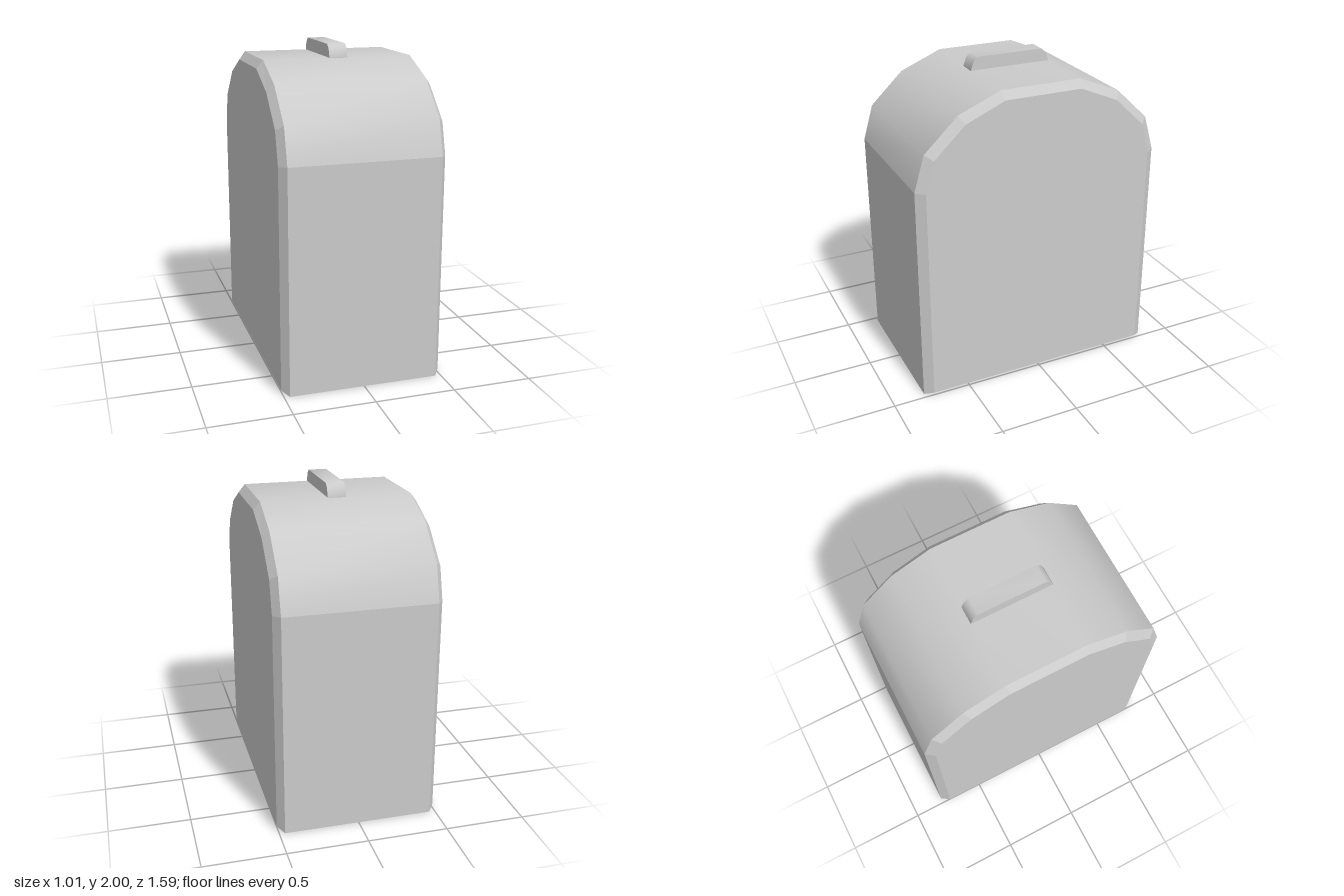
import * as THREE from 'three';
import { toCreasedNormals } from 'three/addons/utils/BufferGeometryUtils.js';

const material = new THREE.MeshStandardMaterial({ color: 0xcccccc });

// Mirrors a half profile of [z, y] points, front bottom to top, into a full arch
const mirror = half => [...half, ...half.map(([z, y]) => [-z, y]).reverse()];

const outer = mirror([[0.795, 0], [0.795, 1.39], [0.73, 1.61], [0.52, 1.81], [0.255, 1.92]]);
const inner = mirror([[0.74, 0.02], [0.74, 1.385], [0.685, 1.58], [0.49, 1.765], [0.245, 1.87]]);

// Strip of quads from profile a at xa to profile b at xb (xa < xb)
function strip(a, xa, b, xb, smooth) {
  const positions = [], index = [];
  a.forEach(([z, y], i) => positions.push(xa, y, z, xb, b[i][1], b[i][0]));
  for (let i = 0; i < a.length - 1; i++) {
    const k = 2 * i;
    index.push(k, k + 1, k + 3, k, k + 3, k + 2);
  }
  let geometry = new THREE.BufferGeometry();
  geometry.setAttribute('position', new THREE.Float32BufferAttribute(positions, 3));
  geometry.setIndex(index);
  if (!smooth) geometry = geometry.toNonIndexed();
  geometry.computeVertexNormals();
  return geometry;
}

const toShape = points => new THREE.Shape(points.map(([z, y]) => new THREE.Vector2(z, y)));

export function createModel() {
  const model = new THREE.Group();
  const add = (name, geometry) => {
    const mesh = new THREE.Mesh(geometry, material);
    mesh.name = name;
    model.add(mesh);
  };
  const edgeX = 0.465, sideX = 0.505;

  // Smooth arched roof, then flat front, back and bottom
  const roof = outer.slice(1, 9);
  const walls = [outer[8], outer[9], outer[0], outer[1]];
  add('archedRoof', strip(roof, -edgeX, roof, edgeX, true));
  add('wallsAndBase', strip(walls, -edgeX, walls, edgeX, false));

  // Bevelled rims and flat side panels
  const outerLoop = [...outer, outer[0]], innerLoop = [...inner, inner[0]];
  add('leftBevel', strip(outerLoop, edgeX, innerLoop, sideX, false));
  add('rightBevel', strip(innerLoop, -sideX, outerLoop, -edgeX, false));
  for (const side of [1, -1]) {
    const panel = new THREE.ShapeGeometry(toShape(inner));
    panel.rotateY(side * Math.PI / 2).translate(side * sideX, 0, 0);
    add(side > 0 ? 'leftPanel' : 'rightPanel', panel);
  }

  // Narrow handle with rounded ends on the roof
  const handle = new THREE.ExtrudeGeometry(
    toShape(mirror([[0.26, 1.915], [0.26, 1.925], [0.242, 1.975], [0.212, 2]])),
    { depth: 0.114, bevelEnabled: false });
  handle.translate(0, 0, -0.057).rotateY(Math.PI / 2);
  add('topHandle', toCreasedNormals(handle, 0.9));

  return model;
}
